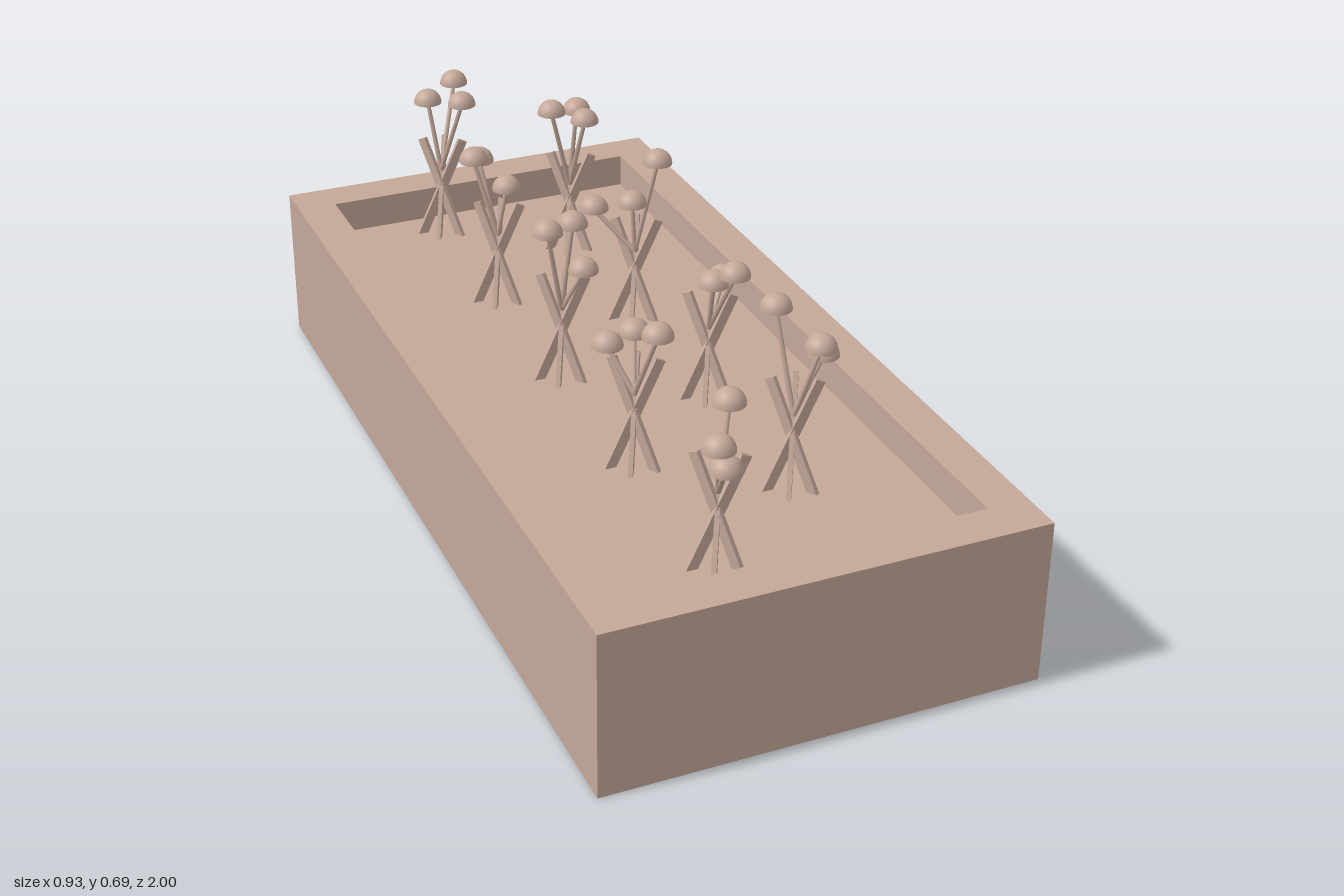
import * as THREE from 'three';

const HEIGHT = 0.363, SOIL = 0.285, STEM_START = 0.445, CAP_R = 0.033;
const material = new THREE.MeshStandardMaterial({ color: 0xc4a899 });

// Each plant: root x, root z, then the x, y, z of its three cap centres
const PLANTS = [
  [-0.128, 0.77, [-0.087, 0.617, 0.724], [-0.16, 0.595, 0.837], [-0.145, 0.547, 0.837]],
  [-0.128, 0.37, [-0.163, 0.55, 0.315], [-0.105, 0.567, 0.315], [-0.106, 0.617, 0.436]],
  [-0.128, -0.03, [-0.166, 0.657, -0.005], [-0.102, 0.657, -0.025], [-0.086, 0.555, -0.005]],
  [-0.128, -0.43, [-0.145, 0.623, -0.493], [-0.168, 0.638, -0.464], [-0.105, 0.575, -0.424]],
  [-0.128, -0.83, [-0.145, 0.628, -0.86], [-0.065, 0.65, -0.9], [-0.087, 0.643, -0.778]],
  [0.128, 0.57, [0.115, 0.67, 0.505], [0.198, 0.573, 0.553], [0.173, 0.61, 0.59]],
  [0.128, 0.17, [0.184, 0.541, 0.117], [0.117, 0.585, 0.214], [0.151, 0.612, 0.245]],
  [0.128, -0.23, [0.054, 0.553, -0.29], [0.122, 0.578, -0.23], [0.174, 0.678, -0.21]],
  [0.128, -0.63, [0.079, 0.657, -0.614], [0.142, 0.653, -0.614], [0.145, 0.641, -0.571]],
];

function add(parent, name, geometry, x = 0, y = 0, z = 0) {
  const mesh = new THREE.Mesh(geometry, material);
  mesh.name = name;
  mesh.position.set(x, y, z);
  parent.add(mesh);
  return mesh;
}

function rectangle(Kind, x, z) {
  return new Kind([[-x, -z], [x, -z], [x, z], [-x, z]].map(p => new THREE.Vector2(...p)));
}

// Domed cap with a flat underside
function capGeometry() {
  const profile = [new THREE.Vector2(0, 0)];
  for (let i = 0; i <= 8; i++) {
    const a = (i / 8) * Math.PI / 2;
    // The rim point is doubled so the dome and underside shade separately
    if (i === 0) profile.push(new THREE.Vector2(CAP_R - 0.0002, 0));
    profile.push(new THREE.Vector2(CAP_R * Math.cos(a), CAP_R * Math.sin(a)));
  }
  return new THREE.LatheGeometry(profile, 20);
}

export function createModel() {
  const model = new THREE.Group();
  model.name = 'planter';

  // Planter walls
  const outline = rectangle(THREE.Shape, 0.467, 1);
  outline.holes.push(rectangle(THREE.Path, 0.377, 0.907));
  const walls = new THREE.ExtrudeGeometry(outline, { depth: HEIGHT, bevelEnabled: false });
  walls.rotateX(-Math.PI / 2);
  add(model, 'planterWalls', walls);

  // Soil fills the walls down to the ground
  add(model, 'soil', new THREE.BoxGeometry(0.754, SOIL, 1.814), 0, SOIL / 2, 0);

  const leaf = new THREE.BoxGeometry(0.022, 0.26, 0.01);
  const cap = capGeometry();

  for (const [x, z, ...caps] of PLANTS) {
    const plant = new THREE.Group();
    plant.name = 'plant';
    model.add(plant);

    // Three crossed leaning leaves
    for (let i = 0; i < 3; i++) {
      const blade = add(plant, 'leaf', leaf, x, 0.395, z);
      blade.rotation.set(0, i * Math.PI / 3, -0.45, 'YXZ');
    }

    // Thin stems fanning out to the caps
    const root = new THREE.Vector3(x, STEM_START, z);
    for (const [cx, cy, cz] of caps) {
      const top = new THREE.Vector3(cx, cy - CAP_R / 2, cz);
      const line = new THREE.LineCurve3(root, top);
      const stem = new THREE.CylinderGeometry(0.005, 0.006, line.getLength(), 8);
      const mesh = add(plant, 'stem', stem, ...line.getPoint(0.5).toArray());
      mesh.quaternion.setFromUnitVectors(new THREE.Vector3(0, 1, 0), line.getTangent(0));
      add(plant, 'cap', cap, ...top.toArray());
    }
  }
  return model;
}
